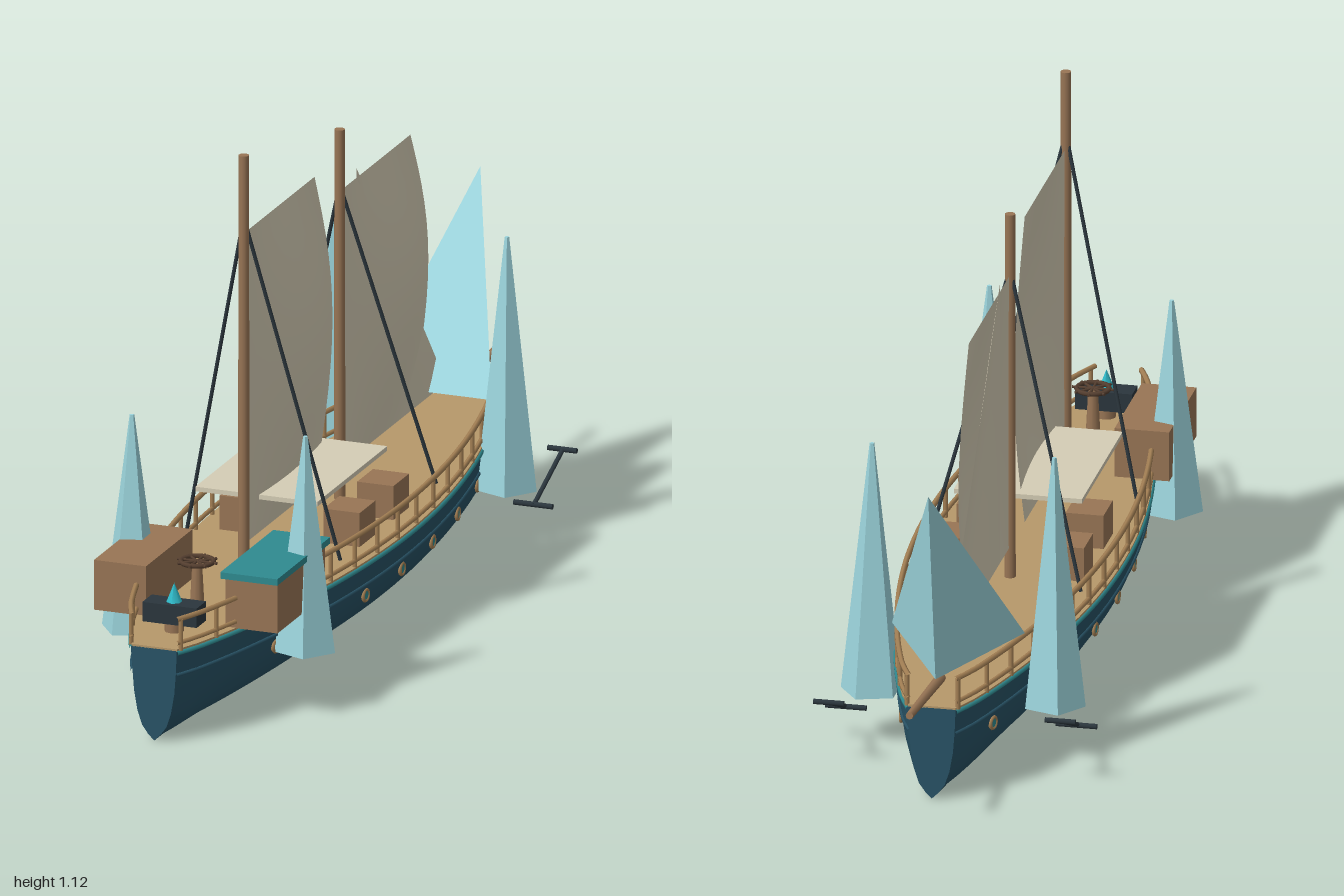
import * as THREE from 'three';

const mat = (name, color, side = THREE.FrontSide) => {
  const m = new THREE.MeshStandardMaterial({ color, side });
  m.name = name;
  return m;
};

const STERN = 1, BOW = -0.785, DECK = 0.2;
// Half width of the hull at deck height
const halfWidth = (z) => {
  const t = (STERN - z) / (STERN - BOW);
  return 0.05 + 0.16 * Math.pow(Math.max(0, Math.sin(Math.PI * t)), 0.8);
};
// Hull section: fraction of the half width against height
const SECTION = [[1, 0.2], [0.96, 0.15], [0.89, 0.105], [0.74, 0.062], [0.54, 0.032], [0.28, 0.014], [0, 0]];
const STATIONS = Array.from({ length: 33 }, (_, i) => STERN + (BOW - STERN) * i / 32);

export function createModel() {
  const model = new THREE.Group();
  const hullPaint = mat('hull blue', 0x285366);
  const deckWood = mat('deck wood', 0xb7986a);
  const wood = mat('brown wood', 0x987555);
  const railWood = mat('rail wood', 0xa58155);
  const teal = mat('teal', 0x2f8a90);
  const canvas = mat('canvas', 0xd5cdb5, THREE.DoubleSide);
  const crystal = mat('pale cyan', 0x9dd6de);
  crystal.flatShading = true;
  const iron = mat('dark iron', 0x2b363d);
  const darkWood = mat('dark wood', 0x553f30);
  const flameCyan = mat('bright cyan', 0x30bccb);

  const add = (name, geo, material, x = 0, y = 0, z = 0, parent = model) => {
    const mesh = new THREE.Mesh(geo, material);
    mesh.name = name;
    mesh.position.set(x, y, z);
    parent.add(mesh);
    return mesh;
  };
  const box = (name, m, w, h, d, x, y, z) => add(name, new THREE.BoxGeometry(w, h, d), m, x, y, z);
  // Round bar between two points
  const bar = (name, m, a, b, r, r2 = r, sides = 8) => {
    const p = new THREE.Vector3(...a), q = new THREE.Vector3(...b);
    const dir = q.clone().sub(p);
    const mesh = add(name, new THREE.CylinderGeometry(r2, r, dir.length(), sides), m);
    mesh.position.copy(p).add(q).multiplyScalar(0.5);
    mesh.quaternion.setFromUnitVectors(new THREE.Vector3(0, 1, 0), dir.normalize());
    return mesh;
  };
  // Tube following the side of the hull
  const sideTube = (name, m, s, fraction, y, r) => {
    const pts = STATIONS.map((z) => new THREE.Vector3(s * halfWidth(z) * fraction, y, z));
    add(name, new THREE.TubeGeometry(new THREE.CatmullRomCurve3(pts), 48, r, 6), m);
  };

  // Hull skin lofted through the stations
  const ring = [...SECTION.map(([f, y]) => [-f, y]), ...SECTION.slice(0, -1).reverse()];
  const pos = [], index = [], n = ring.length;
  STATIONS.forEach((z, i) => {
    ring.forEach(([f, y], j) => {
      pos.push(f * halfWidth(z), y, z);
      if (i < STATIONS.length - 1 && j < n - 1) {
        const a = i * n + j, c = a + n;
        index.push(a, c, a + 1, a + 1, c, c + 1);
      }
    });
  });
  const skin = new THREE.BufferGeometry();
  skin.setAttribute('position', new THREE.Float32BufferAttribute(pos, 3));
  skin.setIndex(index);
  skin.computeVertexNormals();
  add('hull', skin, hullPaint);
  for (const [name, z, turn] of [['sternPlate', STERN, 0], ['bowPlate', BOW, Math.PI]]) {
    const shape = new THREE.Shape(ring.map(([f, y]) => new THREE.Vector2(f * halfWidth(z), y)));
    add(name, new THREE.ShapeGeometry(shape), hullPaint, 0, 0, z).rotation.y = turn;
  }

  // Deck
  const outline = [
    ...STATIONS.map((z) => new THREE.Vector2(halfWidth(z), -z)),
    ...STATIONS.slice().reverse().map((z) => new THREE.Vector2(-halfWidth(z), -z)),
  ];
  const deck = new THREE.ExtrudeGeometry(new THREE.Shape(outline), { depth: 0.005, bevelEnabled: false });
  deck.rotateX(-Math.PI / 2);
  add('deck', deck, deckWood, 0, DECK - 0.001, 0);

  // Trim, rails, rail posts and portholes on both sides
  for (const s of [-1, 1]) {
    sideTube('upperTrim', teal, s, 1, 0.195, 0.005);
    sideTube('lowerTrim', hullPaint, s, 0.96, 0.147, 0.004);
    sideTube('lowerRail', railWood, s, 0.98, 0.217, 0.005);
    sideTube('topRail', railWood, s, 0.98, 0.268, 0.006);
    for (let i = 0; i <= 17; i++) {
      const z = 0.99 - i * 0.104;
      bar('railPost', railWood, [s * halfWidth(z) * 0.98, DECK, z], [s * halfWidth(z) * 0.98, 0.268, z], 0.005);
    }
    for (let i = 0; i < 8; i++) {
      const z = 0.67 - i * 0.187, x = s * (halfWidth(z) * 0.92 + 0.002);
      const slope = s * (halfWidth(z + 0.01) - halfWidth(z - 0.01)) / 0.02;
      const port = new THREE.Group();
      port.name = 'porthole';
      port.position.set(x, 0.12, z);
      port.rotation.y = s * Math.PI / 2 + Math.atan(slope);
      add('portholeRing', new THREE.TorusGeometry(0.012, 0.004, 6, 16), railWood, 0, 0, 0, port);
      add('portholeGlass', new THREE.CircleGeometry(0.012, 16), teal, 0, 0, 0.002, port);
      model.add(port);
    }
  }

  // Masts, stays and sails
  const sail = (name, z0, top) => {
    const geo = new THREE.PlaneGeometry(1, 1, 14, 14), p = geo.attributes.position;
    for (let i = 0; i < p.count; i++) {
      const u = p.getX(i) + 0.5, v = p.getY(i) + 0.5, belly = Math.sin(Math.PI * v);
      p.setXYZ(i, 0.034 * Math.sin(Math.PI * u) * belly, 0.27 + (top - 0.27) * v, z0 - (0.39 + 0.1 * belly) * u);
    }
    geo.computeVertexNormals();
    add(name, geo, canvas);
  };
  for (const [name, z, top, stay, sailTop] of [['aft', 0.5, 1.115, 0.98, 0.945], ['fore', -0.035, 1.005, 0.885, 0.87]]) {
    bar(name + 'Mast', wood, [0, DECK, z], [0, top, z], 0.012, 0.011, 12);
    sail(name + 'Sail', z - 0.005, sailTop);
    for (const s of [-1, 1]) bar(name + 'Stay', iron, [0, stay, z], [s * 0.172, 0.225, z - 0.105], 0.004);
  }

  // Triangular staysail
  const stay = new THREE.PlaneGeometry(1, 1, 8, 8), sp = stay.attributes.position;
  for (let i = 0; i < sp.count; i++) {
    const u = sp.getX(i) + 0.5, v = sp.getY(i) + 0.5;
    sp.setXYZ(i, 0.012 * Math.sin(Math.PI * u) * Math.sin(Math.PI * v), 0.27 + 0.62 * v, -0.13 - 0.5 * u * (1 - v));
  }
  stay.computeVertexNormals();
  add('staysail', stay, canvas);

  // Bow fin: a leaning four-faced spike
  const A = [-0.14, 0.28, -0.53], B = [0.14, 0.28, -0.53], C = [0, 0.25, -0.75], D = [0, 0.68, -0.82];
  const fin = new THREE.BufferGeometry();
  fin.setAttribute('position', new THREE.Float32BufferAttribute([A, B, D, B, C, D, C, A, D, A, C, B].flat(2), 3));
  fin.computeVertexNormals();
  add('bowFin', fin, crystal);
  bar('bowsprit', wood, [0, 0.235, -0.7], [0, 0.265, -1], 0.011, 0.008);

  // Tall side spikes and bow anchors
  for (const s of [-1, 1]) {
    for (const [z, top] of [[-0.485, 0.655], [0.64, 0.572]]) {
      const spike = add('sideSpike', new THREE.CylinderGeometry(0.005, 0.066, top - 0.11, 5), crystal, s * 0.192, (top + 0.11) / 2, z);
      spike.rotation.y = s * 0.3;
    }
    bar('anchorShank', iron, [s * 0.245, 0.075, -0.5], [s * 0.245, 0.145, -0.663], 0.005);
    bar('anchorCrown', iron, [s * 0.2, 0.075, -0.503], [s * 0.286, 0.075, -0.503], 0.006);
    bar('anchorStock', iron, [s * 0.212, 0.145, -0.663], [s * 0.276, 0.145, -0.663], 0.006);
    // Crates
    for (const z of [0.2, 0.012]) box('crate', wood, 0.08, 0.077, 0.088, s * 0.115, 0.239, z);
  }

  // Cabins and awning
  box('rightCabin', wood, 0.115, 0.108, 0.26, -0.147, 0.257, 0.69);
  box('leftCabin', wood, 0.115, 0.108, 0.265, 0.146, 0.257, 0.692);
  box('cabinRoof', teal, 0.126, 0.014, 0.295, 0.145, 0.318, 0.69);
  box('cabinHatch', iron, 0.065, 0.045, 0.01, 0.14, 0.265, 0.534);
  box('awning', canvas, 0.27, 0.01, 0.39, 0, 0.352, 0.235);

  // Steering wheel lying flat on its pedestal
  bar('wheelPedestal', wood, [0, DECK, 0.76], [0, 0.315, 0.76], 0.016, 0.01, 10);
  add('wheelRim', new THREE.TorusGeometry(0.034, 0.005, 6, 24), darkWood, 0, 0.315, 0.76).rotation.x = Math.PI / 2;
  for (let i = 0; i < 4; i++) {
    const a = i * Math.PI / 4, x = 0.044 * Math.cos(a), z = 0.044 * Math.sin(a);
    bar('wheelSpoke', darkWood, [-x, 0.315, 0.76 - z], [x, 0.315, 0.76 + z], 0.003);
  }

  // Stern brazier with its glowing spike
  box('brazier', iron, 0.12, 0.042, 0.052, 0, 0.246, 0.888);
  bar('brazierFoot', wood, [0, DECK, 0.888], [0, 0.226, 0.888], 0.02, 0.02, 10);
  add('brazierFlame', new THREE.ConeGeometry(0.017, 0.042, 6), flameCyan, 0, 0.287, 0.888);

  return model;
}
